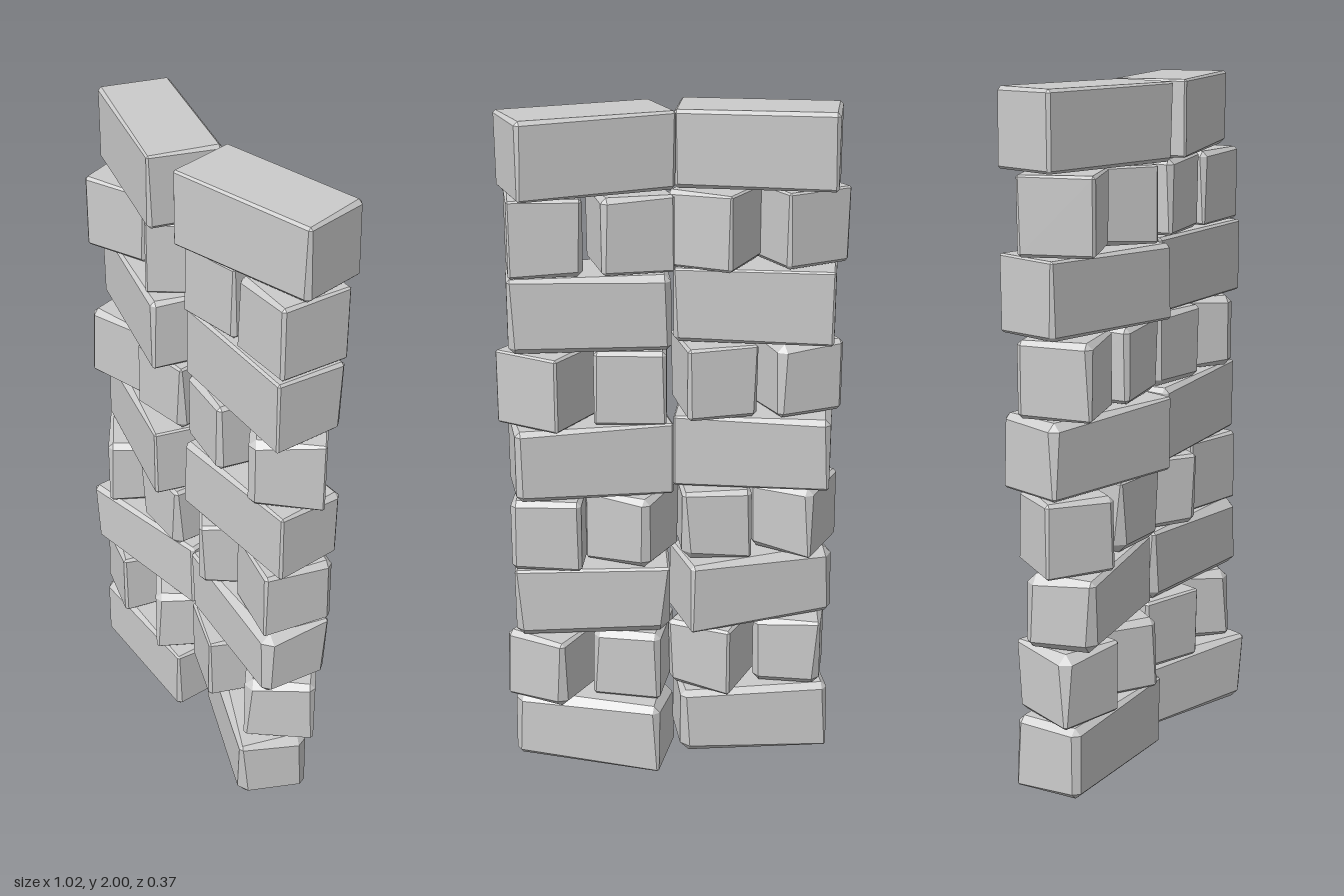
import * as THREE from 'three';
import { ConvexGeometry } from 'three/addons/geometries/ConvexGeometry.js';

const HEIGHT = 0.218, DEPTH = 0.212;
const LONG = 0.46, SHORT = 0.208;
const PITCH = (2 - HEIGHT) / 8;

// yaw of every brick, course by course from the ground up, right to left of the model
const COURSES = [
  [-0.04, -0.40],
  [-0.30, -0.60, -0.36, -0.70],
  [0.16, -0.12],
  [-0.62, -0.05, -0.62, -0.24],
  [-0.27, 0.02],
  [0.25, 0.08, -0.17, -0.70],
  [-0.27, -0.06],
  [0.36, -0.65, 0.10, -0.04],
  [-0.285, 0.215],
];

// small seeded generator for the chipped corners
function seeded(seed) {
  let s = seed;
  return () => {
    s = (s * 16807) % 2147483647;
    return s / 2147483647;
  };
}

// box whose eight corners are each cut back by a different amount
function brickGeometry(w, h, d, wear, rand) {
  const points = [];
  for (const sx of [-1, 1]) for (const sy of [-1, 1]) for (const sz of [-1, 1]) {
    const c = 0.005 + wear * Math.pow(rand(), 2);
    const x = w / 2, y = h / 2, z = d / 2;
    points.push(
      new THREE.Vector3(sx * x, sy * (y - c), sz * (z - c)),
      new THREE.Vector3(sx * (x - c), sy * y, sz * (z - c)),
      new THREE.Vector3(sx * (x - c), sy * (y - c), sz * z),
    );
  }
  return new ConvexGeometry(points);
}

export function createModel() {
  const model = new THREE.Group();
  model.name = 'brickStack';
  const material = new THREE.MeshStandardMaterial({ color: 0xcccccc, flatShading: true });
  const rand = seeded(4711);

  COURSES.forEach((yaws, row) => {
    const course = new THREE.Group();
    course.name = `course${row + 1}`;
    course.position.y = HEIGHT / 2 + row * PITCH;

    // two long stretchers or four short blocks fill the same width
    const isLong = yaws.length === 2;
    const spacing = 0.98 / yaws.length;
    const wear = 0.03 - row * 0.0025; // lower bricks are more worn
    yaws.forEach((yaw, i) => {
      const width = isLong ? LONG : SHORT;
      const brick = new THREE.Mesh(brickGeometry(width, HEIGHT, DEPTH, wear, rand), material);
      brick.name = isLong ? 'longBrick' : 'shortBrick';
      brick.position.x = (i - (yaws.length - 1) / 2) * spacing;
      brick.rotation.y = yaw;
      course.add(brick);
    });
    model.add(course);
  });
  return model;
}
